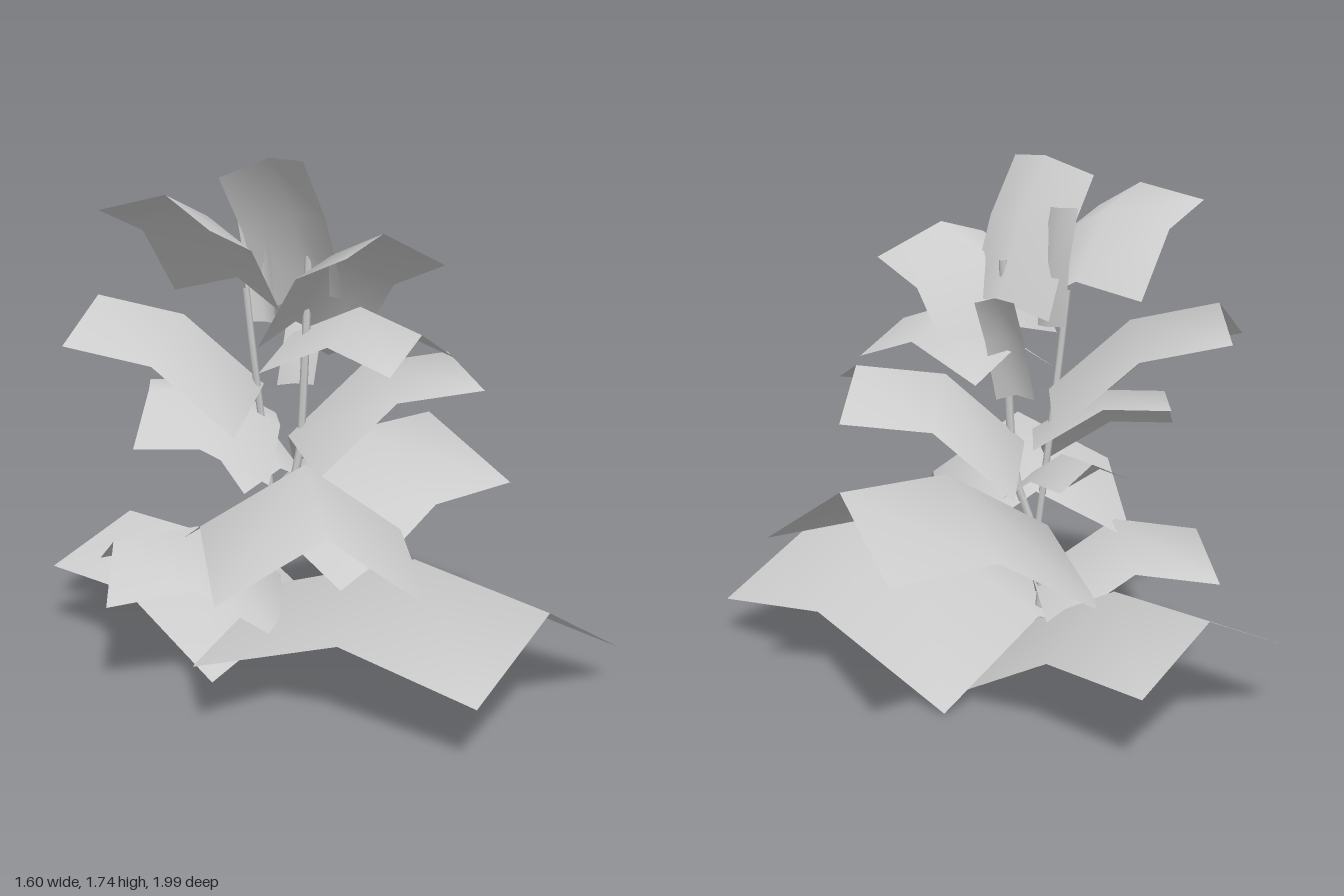
import * as THREE from 'three';

const leafMaterial = new THREE.MeshStandardMaterial({ color: 0xcccccc, side: THREE.DoubleSide });
const stemMaterial = new THREE.MeshStandardMaterial({ color: 0xcccccc });

// Each leaf: ridge base, ridge tip, half-width vector, then optional arch and fold (relative to length)
const LEAVES = {
  lowFrontLeaf: [[-0.06, 0.24, -0.22], [0.38, 0.37, 0.80], [0.4, -0.03, -0.16]],
  lowBackLeaf: [[-0.07, 0.16, -0.07], [-0.33, 0.39, -0.86], [0.32, 0, -0.1]],
  lowRightLeaf: [[-0.11, 0.33, -0.06], [-0.65, 0.48, -0.24], [0.075, 0.015, -0.21], 0.19, 0.25],
  middleLeftLeaf: [[-0.14, 0.52, -0.12], [0.66, 0.77, -0.32], [0.08, -0.01, 0.35], 0.13, 0.25],
  middleFrontLeaf: [[-0.1, 0.64, -0.11], [-0.36, 0.69, 0.69], [0.3, -0.02, 0.11], 0.18, 0.24],
  middleBackLeaf: [[-0.1, 0.7, -0.08], [-0.13, 0.81, -0.46], [0.14, 0, -0.03]],
  middleRightLeaf: [[-0.1, 0.85, -0.08], [-0.5, 0.98, -0.26], [0.12, 0.07, -0.2], 0.14, 0.2],
  upperLeftLeaf: [[-0.07, 0.81, -0.08], [0.46, 1.08, 0.09], [0.08, -0.03, -0.235], 0.16, 0.21],
  upperRightLeaf: [[-0.14, 0.99, -0.12], [-0.61, 1.29, -0.41], [0.145, 0.02, -0.2], 0.13, 0.21],
  upperFrontLeaf: [[-0.02, 1.15, -0.14], [0.21, 1.19, 0.31], [0.185, 0, -0.09], 0.18, 0.21],
  innerBackLeaf: [[-0.02, 0.98, -0.12], [0.1, 1.32, -0.22], [0.055, 0, 0.03], 0.08, 0.08],
  topFrontLeaf: [[-0.04, 1.2, -0.08], [0.08, 1.52, 0.28], [0.22, -0.03, -0.06], 0.16, 0.22],
  topRightLeaf: [[-0.21, 1.35, -0.17], [-0.56, 1.65, 0.04], [0.1, -0.02, 0.19], 0.13, 0.18],
  topInnerLeaf: [[-0.13, 1.2, -0.13], [-0.16, 1.59, -0.16], [0.03, 0, 0.04], 0.05, 0.06],
  crownLeaf: [[0.03, 1.29, -0.1], [-0.18, 1.75, 0.0], [0.085, 0.03, 0.125], 0.07, 0.15],
};

// A card folded down along its ridge and arched from base to tip
function makeLeaf(name, [b, t, w, arch = 0.12, fold = 0.18]) {
  const base = new THREE.Vector3(...b);
  const tip = new THREE.Vector3(...t);
  const half = new THREE.Vector3(...w);
  const along = tip.clone().sub(base);
  const length = along.length();
  const normal = half.clone().cross(along).normalize();
  const side = normal.y < 0 ? -1 : 1;
  normal.multiplyScalar(side);
  half.multiplyScalar(side);

  const geometry = new THREE.PlaneGeometry(2, 2, 2, 2);
  const pos = geometry.attributes.position;
  for (let i = 0; i < pos.count; i++) {
    const u = pos.getX(i), v = pos.getY(i);
    const bend = 1 - v * v;
    const lift = arch * bend - fold * u * u;
    const p = base.clone().addScaledVector(along, (v + 1) / 2 + 0.05 * bend)
      .addScaledVector(half, u).addScaledVector(normal, lift * length);
    pos.setXYZ(i, p.x, p.y, p.z);
  }
  geometry.computeVertexNormals();
  const mesh = new THREE.Mesh(geometry, leafMaterial);
  mesh.name = name;
  return mesh;
}

// Thin curved stem
function makeStem(name, points, radius) {
  const curve = new THREE.CatmullRomCurve3(points.map(p => new THREE.Vector3(...p)));
  const mesh = new THREE.Mesh(new THREE.TubeGeometry(curve, 10, radius, 6), stemMaterial);
  mesh.name = name;
  return mesh;
}

export function createModel() {
  const plant = new THREE.Group();
  plant.name = 'plant';

  const leaves = new THREE.Group();
  leaves.name = 'leaves';
  for (const [name, spec] of Object.entries(LEAVES)) leaves.add(makeLeaf(name, spec));

  const stems = new THREE.Group();
  stems.name = 'stems';
  stems.add(
    makeStem('mainStem', [[-0.11, 0.15, -0.1], [-0.12, 0.4, -0.11], [-0.04, 0.7, -0.07], [-0.02, 1.0, -0.06], [0, 1.42, -0.06]], 0.014),
    makeStem('sideStem', [[-0.11, 0.5, -0.1], [-0.15, 0.87, -0.12], [-0.18, 1.1, -0.12], [-0.2, 1.32, -0.13]], 0.012),
  );

  plant.add(leaves, stems);
  return plant;
}
